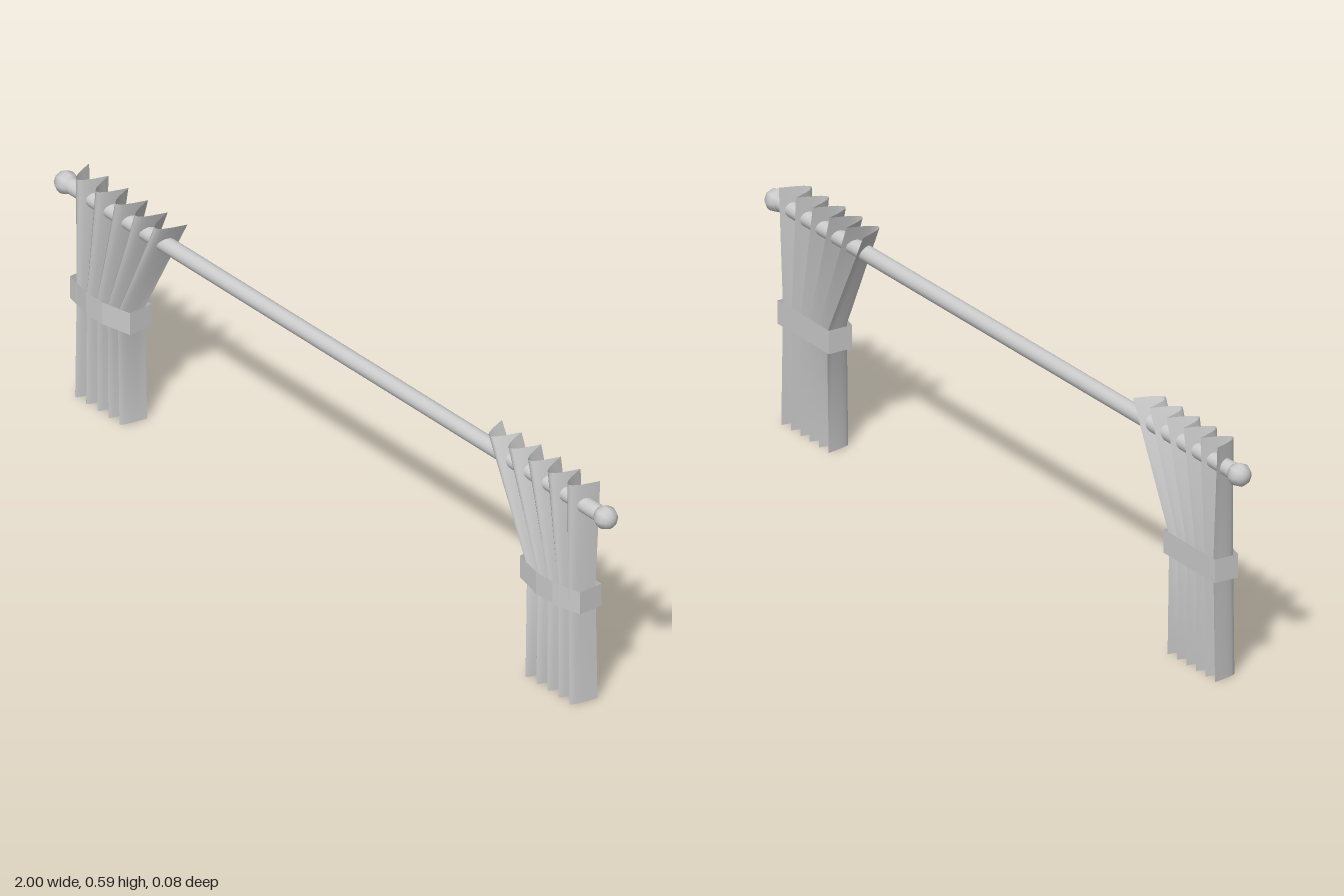
import * as THREE from 'three';

const ROD_Y = 0.534, ROD_Z = -0.005;
const BACK_Z = -0.037, FOLD_DEPTH = 0.067;
const FOLDS = 5, STEPS = 10;
// Curtain outline rows: height, inner edge, outer edge
const ROWS = [[0, 0.711, 0.91], [0.3, 0.718, 0.903], [0.593, 0.566, 0.92]];

const solid = new THREE.MeshStandardMaterial({ color: 0xcccccc });
const cloth = new THREE.MeshStandardMaterial({ color: 0xcccccc, side: THREE.DoubleSide });
const clothFlat = new THREE.MeshStandardMaterial({ color: 0xcccccc, side: THREE.DoubleSide, flatShading: true });

function add(parent, name, geometry, material, x = 0, y = 0, z = 0) {
  const mesh = new THREE.Mesh(geometry, material);
  mesh.name = name;
  mesh.position.set(x, y, z);
  parent.add(mesh);
  return mesh;
}

// Joins equal-length rows of points into a sheet
function loft(rows) {
  const n = rows[0].length, index = [];
  for (let r = 0; r < rows.length - 1; r++) {
    for (let i = 0; i < n - 1; i++) {
      const a = r * n + i, b = a + 1, c = a + n, d = c + 1;
      index.push(a, b, d, a, d, c);
    }
  }
  const geometry = new THREE.BufferGeometry();
  geometry.setAttribute('position', new THREE.Float32BufferAttribute(rows.flat(2), 3));
  geometry.setIndex(index);
  geometry.computeVertexNormals();
  return geometry;
}

// One rounded fold, with sharp creases at its two back edges
function foldGeometry(fold, side) {
  return loft(ROWS.map(([y, inner, outer]) => {
    const [from, to] = side > 0 ? [inner, outer] : [-outer, -inner];
    return Array.from({ length: STEPS + 1 }, (_, i) => {
      const t = i / STEPS;
      const x = THREE.MathUtils.lerp(from, to, (fold + t) / FOLDS);
      return [x, y, BACK_Z + FOLD_DEPTH * Math.sin(Math.PI * t)];
    });
  }));
}

// Open band: flat back, gently faceted front
function tieGeometry() {
  const outline = [
    [-0.108, -0.042], [-0.108, 0.022], [-0.03, 0.04],
    [0.03, 0.04], [0.108, 0.022], [0.108, -0.042], [-0.108, -0.042],
  ];
  return loft([0.253, 0.312].map((y) => outline.map(([x, z]) => [x, y, z])));
}

export function createModel() {
  const model = new THREE.Group();
  model.name = 'curtainSet';

  // Rod and ball ends
  const rod = new THREE.CylinderGeometry(0.02, 0.02, 1.9, 16);
  rod.rotateZ(Math.PI / 2);
  add(model, 'rod', rod, solid, 0, ROD_Y, ROD_Z);
  const ball = new THREE.SphereGeometry(0.029, 8, 8);
  ball.rotateZ(Math.PI / 2);

  for (const side of [1, -1]) {
    const label = side > 0 ? 'left' : 'right';
    add(model, label + 'Finial', ball, solid, side * 0.971, ROD_Y, ROD_Z);

    // Gathered curtain with its tie
    const curtain = new THREE.Group();
    curtain.name = label + 'Curtain';
    curtain.position.x = -0.007;
    for (let f = 0; f < FOLDS; f++) add(curtain, 'fold', foldGeometry(f, side), cloth);
    add(curtain, 'tieBand', tieGeometry(), clothFlat, side * 0.81);
    model.add(curtain);
  }
  return model;
}
